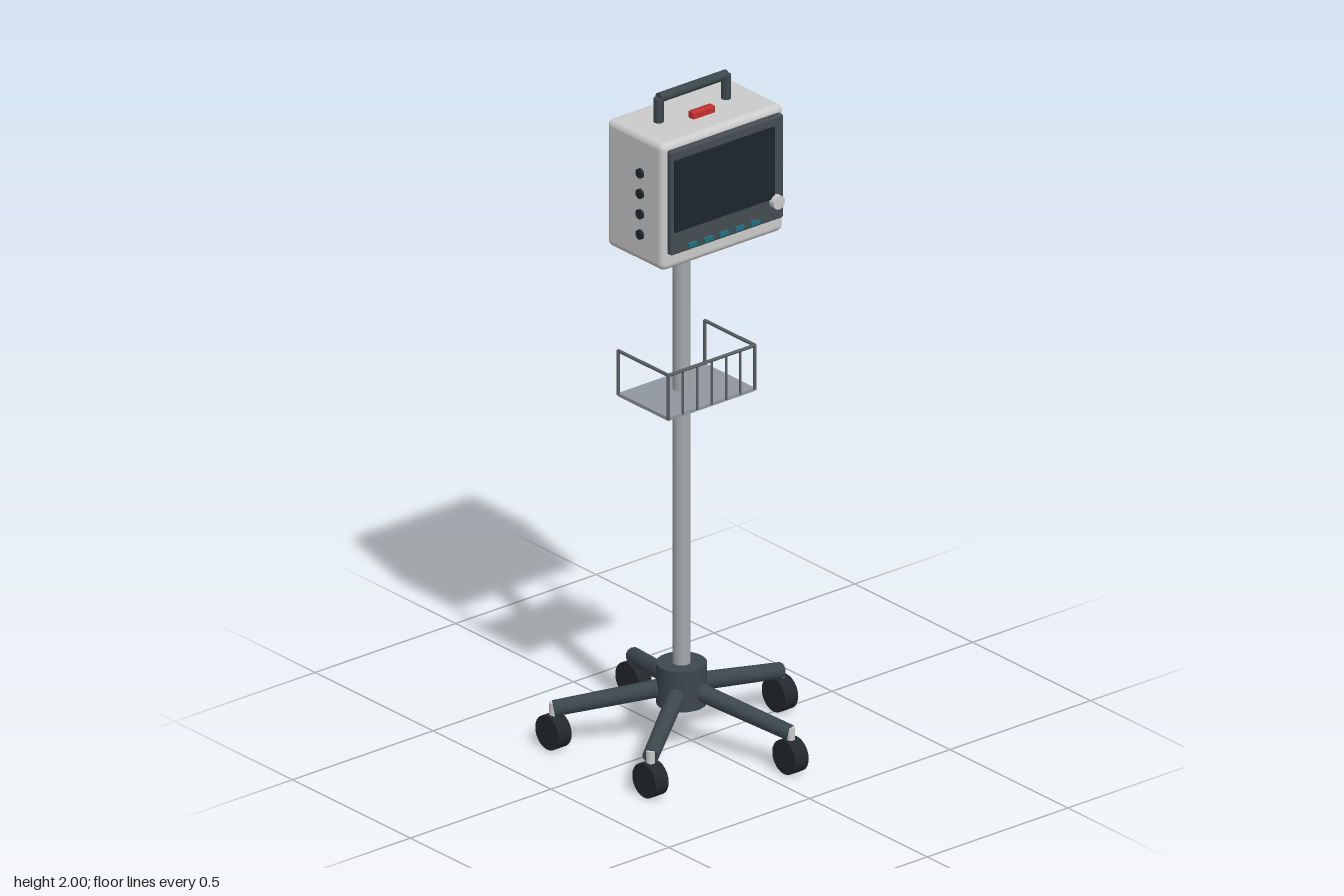
import * as THREE from 'three';
import { RoundedBoxGeometry } from 'three/addons/geometries/RoundedBoxGeometry.js';

const mat = (color) => new THREE.MeshStandardMaterial({ color });
const CX = -0.035; // axis of the pole

export function createModel() {
  const model = new THREE.Group();
  const grey = mat(0xcccccc), dark = mat(0x3c484d), rubber = mat(0x23292c), steel = mat(0xa4a9ac);
  const bezelMat = mat(0x454d52), glass = mat(0x1b272c), teal = mat(0x1f6f80), red = mat(0xc23030);
  const wire = mat(0x5a6064), tray = mat(0x9096a0);

  const group = (name, parent = model) => {
    const g = new THREE.Group();
    g.name = name;
    parent.add(g);
    return g;
  };
  const add = (parent, name, geometry, material, x = 0, y = 0, z = 0) => {
    const m = new THREE.Mesh(geometry, material);
    m.name = name;
    m.position.set(x, y, z);
    parent.add(m);
    return m;
  };
  const box = (w, h, d) => new THREE.BoxGeometry(w, h, d);
  // Round bar between two points
  const rod = (parent, name, a, b, r, material, sides = 12, r2 = r) => {
    const A = new THREE.Vector3(...a), B = new THREE.Vector3(...b);
    const dir = B.clone().sub(A), mid = A.clone().add(B).multiplyScalar(0.5);
    const m = add(parent, name, new THREE.CylinderGeometry(r2, r, dir.length(), sides), material, mid.x, mid.y, mid.z);
    m.quaternion.setFromUnitVectors(new THREE.Vector3(0, 1, 0), dir.normalize());
    return m;
  };

  // Wheeled base: hub, five sloping legs, casters all rolling along z
  const base = group('base');
  rod(base, 'hub', [CX, 0.125, 0], [CX, 0.245, 0], 0.07, dark, 24);
  for (let i = 0; i < 5; i++) {
    const a = (i * Math.PI * 2) / 5;
    const at = (r, y) => [CX + r * Math.cos(a), y, r * Math.sin(a)];
    rod(base, 'leg', at(0.03, 0.175), at(0.35, 0.117), 0.026, dark, 12, 0.023);
    rod(base, 'casterStem', at(0.35, 0.07), at(0.35, 0.135), 0.013, grey, 12);
    const [x, , z] = at(0.35, 0);
    rod(base, 'wheel', [x - 0.023, 0.05, z], [x + 0.023, 0.05, z], 0.05, rubber, 24);
  }

  rod(model, 'pole', [CX, 0.2, 0], [CX, 1.5, 0], 0.025, steel, 24);

  // Wire basket, open at the back
  const basket = group('basket');
  const L = -0.188, R = 0.12, F = 0.126, B = -0.087, LO = 1.06, HI = 1.192, T = 0.005;
  add(basket, 'basketFloor', box(R - L, 0.01, F - B), tray, (L + R) / 2, LO, (F + B) / 2);
  rod(basket, 'frontRail', [L, HI, F], [R, HI, F], T, wire, 8);
  for (const x of [L, R]) {
    rod(basket, 'sideRail', [x, HI, B], [x, HI, F], T, wire, 8);
    rod(basket, 'backPost', [x, LO, B], [x, HI, B], T, wire, 8);
  }
  for (let i = 0; i <= 6; i++) {
    const x = L + ((R - L) * i) / 6;
    rod(basket, 'frontPost', [x, LO, F], [x, HI, F], i % 6 ? 0.0035 : T, wire, 8);
  }

  // Monitor housing
  const monitor = group('monitor');
  add(monitor, 'housing', new RoundedBoxGeometry(0.434, 0.38, 0.241, 4, 0.02), grey, CX, 1.725, 0.0575);
  add(monitor, 'bezel', new RoundedBoxGeometry(0.4, 0.31, 0.03, 2, 0.006), bezelMat, CX, 1.741, 0.18);
  add(monitor, 'screen', box(0.356, 0.215, 0.008), glass, -0.048, 1.762, 0.195);
  rod(monitor, 'knob', [0.134, 1.645, 0.19], [0.134, 1.645, 0.213], 0.02, grey, 24);
  for (let i = 0; i < 5; i++) {
    add(monitor, 'softKey', box(0.03, 0.012, 0.012), teal, -0.162 + 0.055 * i, 1.603, 0.197);
    add(monitor, 'ventSlot', box(0.17, 0.009, 0.008), rubber, CX, 1.79 - 0.024 * i, -0.063);
  }
  for (let i = 0; i < 4; i++) {
    const y = 1.803 - 0.061 * i;
    rod(monitor, 'cableSocket', [-0.24, y, 0.086], [-0.26, y, 0.086], 0.014, rubber, 16);
  }
  add(monitor, 'alarmLight', new RoundedBoxGeometry(0.08, 0.024, 0.025, 3, 0.006), red, CX, 1.923, 0.0855);

  // Carrying handle
  const handle = group('handle', monitor);
  const HZ = 0.046, HY = 1.986;
  rod(handle, 'handleBar', [CX - 0.12, HY, HZ], [CX + 0.12, HY, HZ], 0.014, dark, 12);
  for (const s of [-1, 1]) {
    rod(handle, 'handlePost', [CX + s * 0.12, 1.9, HZ], [CX + s * 0.12, HY, HZ], 0.014, dark, 12);
  }
  return model;
}
